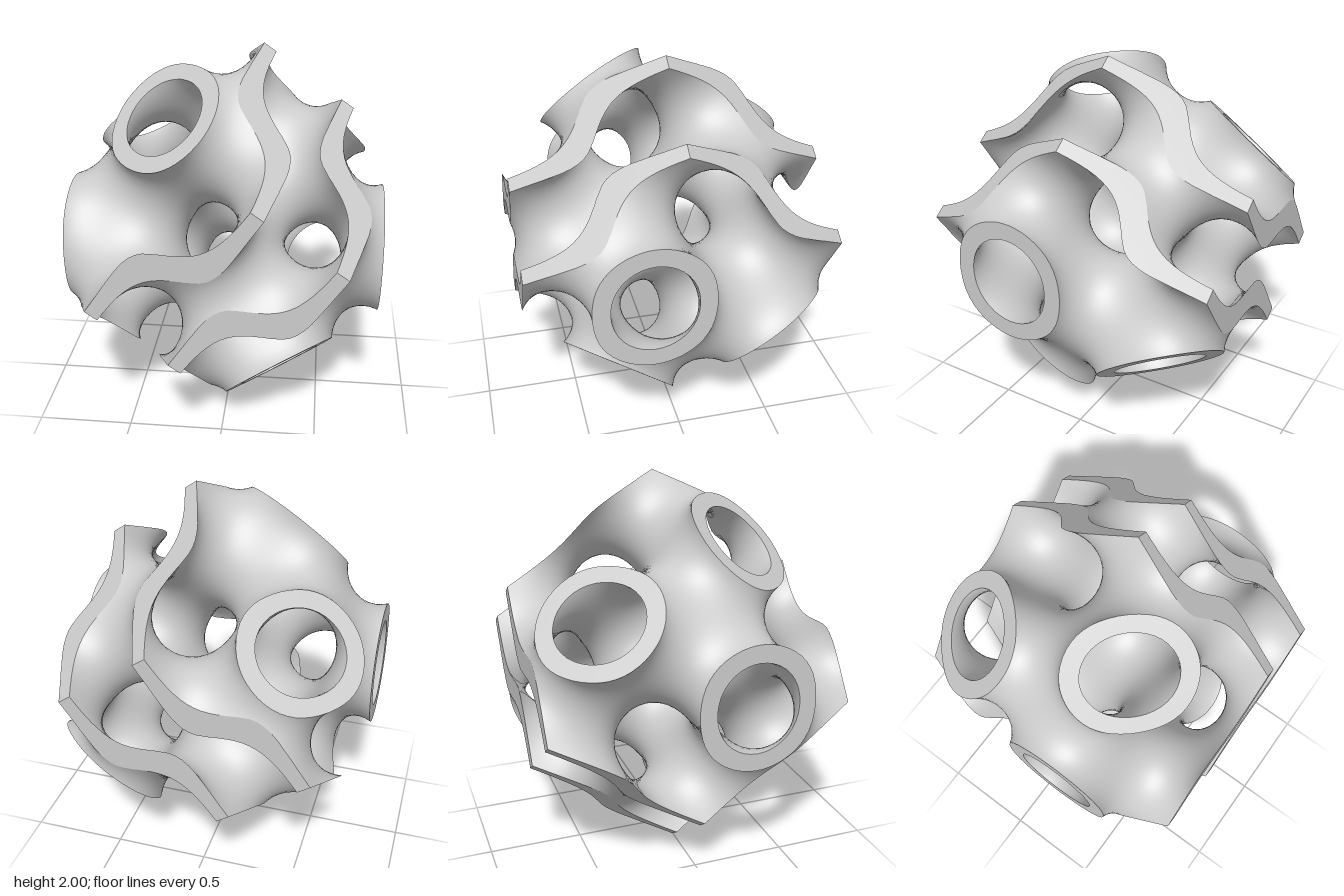
import * as THREE from 'three';

// A thick gyroid sheet cut to a rhombic dodecahedron.
const PERIOD = 1.118;   // gyroid period, also the height of the top corner over the centre
const LEVEL = 0.36;     // the solid fills |field| < LEVEL
const STEPS = 24;       // grid cells along each dodecahedron edge
const K = (2 * Math.PI) / PERIOD, S = Math.SQRT1_2, Q = Math.PI / 4;

// Gyroid axes: one is vertical, the other two lie at 45 degrees between x and z
const angles = (v) => [Q - K * S * (v.x + v.z), Q + K * S * (v.z - v.x), Q + K * v.y];

function field(v) {
  const [a, b, c] = angles(v);
  return Math.sin(a) * Math.cos(b) + Math.sin(b) * Math.cos(c) + Math.sin(c) * Math.cos(a);
}

function gradient(v) {
  const [a, b, c] = angles(v);
  const da = Math.cos(a) * Math.cos(b) - Math.sin(c) * Math.sin(a);
  const db = Math.cos(b) * Math.cos(c) - Math.sin(a) * Math.sin(b);
  const dc = Math.cos(c) * Math.cos(a) - Math.sin(b) * Math.sin(c);
  return new THREE.Vector3(-S * (da + db), dc, S * (db - da)).normalize();
}

// The four edge directions of the dodecahedron; they add up to zero
const EDGES = [[1, 1, 1], [1, -1, -1], [-1, 1, -1], [-1, -1, 1]].map(([p, q, h]) =>
  new THREE.Vector3(-S * (p + q), h, S * (q - p)).multiplyScalar(PERIOD / 2));

// Three edges at a time span four blocks that meet at the centre and fill the solid
const BLOCKS = EDGES.map((_, i) => EDGES.filter((_, j) => j !== i));

const AXIS_ORDERS = [[0, 1, 2], [0, 2, 1], [1, 0, 2], [1, 2, 0], [2, 0, 1], [2, 1, 0]];

// Collects triangles, turning each one to agree with its normals
class Surface {
  constructor() { this.pos = []; this.nor = []; }
  add(pts, normalAt) {
    const n = pts.map(normalAt);
    const e = new THREE.Vector3().subVectors(pts[1], pts[0]);
    const face = e.cross(new THREE.Vector3().subVectors(pts[2], pts[0]));
    const order = face.dot(n[0]) < 0 ? [0, 2, 1] : [0, 1, 2];
    for (const i of order) {
      this.pos.push(...pts[i].toArray());
      this.nor.push(...n[i].toArray());
    }
  }
  mesh(name, material) {
    const g = new THREE.BufferGeometry();
    g.setAttribute('position', new THREE.Float32BufferAttribute(this.pos, 3));
    g.setAttribute('normal', new THREE.Float32BufferAttribute(this.nor, 3));
    const m = new THREE.Mesh(g, material);
    m.name = name;
    return m;
  }
}

// Grid corners carry their position p and field value f
const crossing = (a, b, level) => {
  const t = (level - a.f) / (b.f - a.f);
  return { p: a.p.clone().lerp(b.p, t), f: level };
};

function makeGrid(block) {
  const n = STEPS + 1, grid = [];
  for (let i = 0; i < n; i++) for (let j = 0; j < n; j++) for (let k = 0; k < n; k++) {
    const p = new THREE.Vector3();
    [i, j, k].forEach((s, m) => p.addScaledVector(block[m], s / STEPS));
    grid.push({ p, f: field(p) });
  }
  return (c) => grid[(c[0] * n + c[1]) * n + c[2]];
}

// The part of one side of the sheet inside a tetrahedron
function sliceTetra(tet, level, surface) {
  const hi = tet.filter((c) => c.f > level), lo = tet.filter((c) => c.f <= level);
  if (!hi.length || !lo.length) return;
  const normalAt = (p) => gradient(p).multiplyScalar(Math.sign(level));
  const cut = (a, b) => crossing(a, b, level).p;
  if (hi.length === 2) {
    const [a, b] = hi, [c, d] = lo;
    const quad = [cut(a, c), cut(a, d), cut(b, d), cut(b, c)];
    surface.add([quad[0], quad[1], quad[2]], normalAt);
    surface.add([quad[0], quad[2], quad[3]], normalAt);
  } else {
    const [one, rest] = hi.length === 1 ? [hi[0], lo] : [lo[0], hi];
    surface.add(rest.map((c) => cut(one, c)), normalAt);
  }
}

// Keeps the part of a polygon where sign * field < LEVEL
function clip(poly, sign) {
  const out = [], inside = (c) => sign * c.f <= LEVEL;
  poly.forEach((a, i) => {
    const b = poly[(i + 1) % poly.length];
    if (inside(a)) out.push(a);
    if (inside(a) !== inside(b)) out.push(crossing(a, b, sign * LEVEL));
  });
  return out;
}

// Flat rims where the sheet meets one outer face of a block
function addRims(block, at, axis, surface) {
  const [u, v] = [0, 1, 2].filter((m) => m !== axis);
  const normal = new THREE.Vector3().crossVectors(block[u], block[v]).normalize();
  if (normal.dot(block[axis]) < 0) normal.negate();
  const corner = (i, j) => {
    const c = [STEPS, STEPS, STEPS];
    c[u] = i;
    c[v] = j;
    return at(c);
  };
  for (let i = 0; i < STEPS; i++) for (let j = 0; j < STEPS; j++) {
    const a = corner(i, j), d = corner(i + 1, j + 1);
    for (const side of [corner(i + 1, j), corner(i, j + 1)]) {
      const poly = clip(clip([a, side, d], 1), -1);
      for (let m = 2; m < poly.length; m++) {
        surface.add([poly[0].p, poly[m - 1].p, poly[m].p], () => normal);
      }
    }
  }
}

export function createModel() {
  const sideA = new Surface(), sideB = new Surface(), rims = new Surface();

  for (const block of BLOCKS) {
    const at = makeGrid(block);
    for (let i = 0; i < STEPS; i++) for (let j = 0; j < STEPS; j++) for (let k = 0; k < STEPS; k++) {
      // six tetrahedra per cell, each a walk along the three axes
      for (const order of AXIS_ORDERS) {
        const c = [i, j, k], tet = [at(c)];
        for (const axis of order) {
          c[axis]++;
          tet.push(at(c));
        }
        sliceTetra(tet, LEVEL, sideA);
        sliceTetra(tet, -LEVEL, sideB);
      }
    }
    for (let axis = 0; axis < 3; axis++) addRims(block, at, axis, rims);
  }

  const material = new THREE.MeshStandardMaterial({ color: 0xcccccc });
  const group = new THREE.Group();
  group.name = 'gyroidDodecahedron';
  group.add(
    sideA.mesh('sheetFirstSide', material),
    sideB.mesh('sheetSecondSide', material),
    rims.mesh('cutRims', material),
  );
  group.children.forEach((m) => { m.position.y = 1; });
  return group;
}
